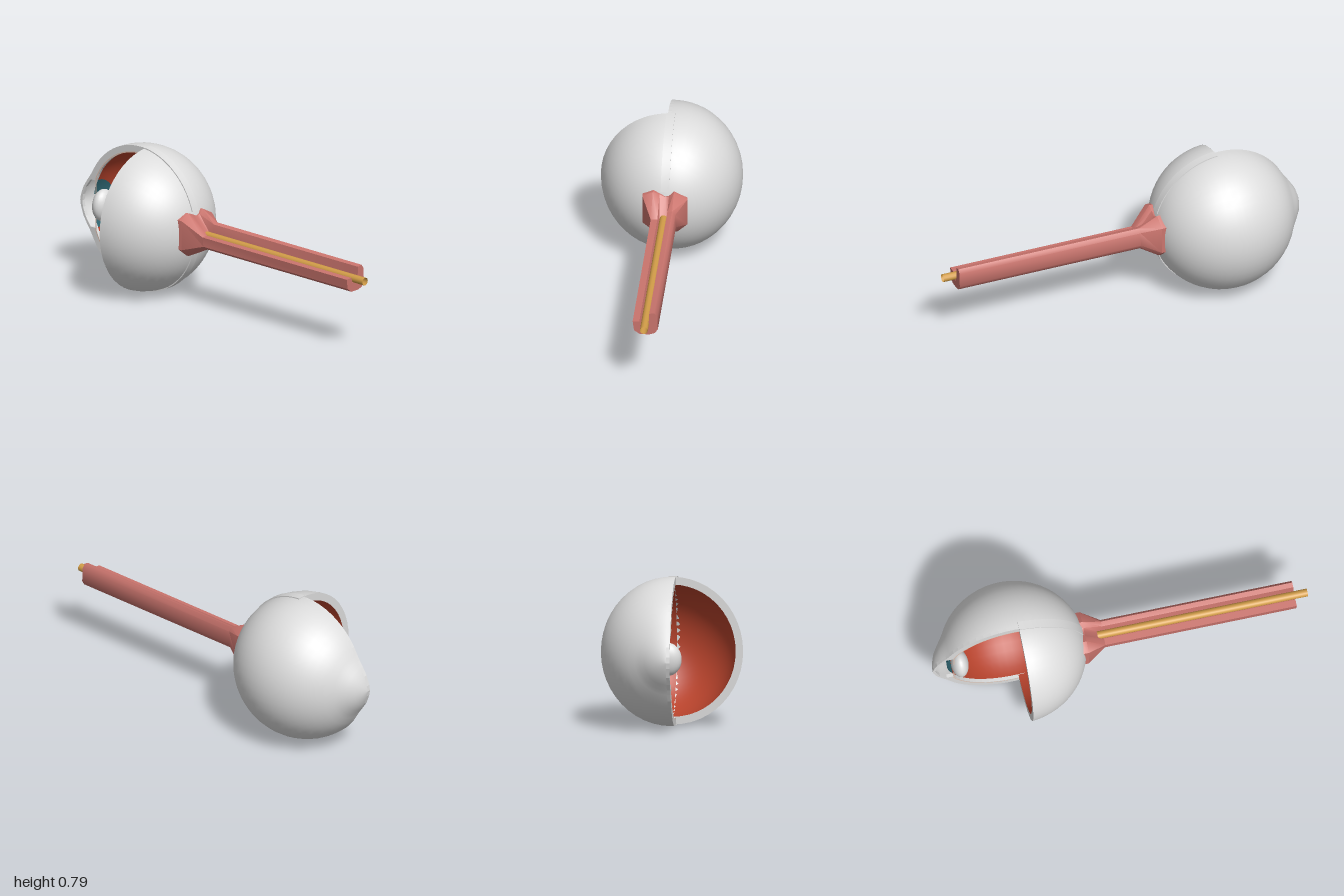
import * as THREE from 'three';
import { toCreasedNormals } from 'three/addons/utils/BufferGeometryUtils.js';

const material = (name, color, side = THREE.FrontSide) => {
  const m = new THREE.MeshStandardMaterial({ color, side });
  m.name = name;
  return m;
};

const CX = -0.57, CY = 0.398, CUT = -0.54, DEPTH = 0.95; // eye centre, cut plane, z squash
const V = (x, y) => new THREE.Vector2(x, y);

// Ellipse points (x along the eye axis, radius), from angle t0 to t1
function arc(rx, ry, t0, t1, n = 24) {
  return Array.from({ length: n + 1 }, (_, i) => {
    const t = t0 + (t1 - t0) * i / n;
    return V(CX - rx * Math.cos(t), Math.max(0, ry * Math.sin(t)));
  });
}

// Revolve an (x, radius) profile about the eye axis: back half or front half
function revolve(profile, back, segments = 24) {
  const pts = profile.map(p => V(p.y, p.x));
  const g = new THREE.LatheGeometry(pts, segments, back ? Math.PI / 2 : -Math.PI / 2, Math.PI);
  g.rotateZ(-Math.PI / 2);
  g.scale(1, 1, DEPTH);
  return g;
}

// Closed outline made from a half profile and its mirror image
const outline = p => [...p, ...p.slice().reverse().map(q => V(q.x, -q.y))];

export function createModel() {
  const group = new THREE.Group();
  const white = material('white', 0xdcdcdc, THREE.DoubleSide);
  const red = material('red', 0xb8432c, THREE.DoubleSide);
  const beige = material('beige', 0xe0c2b2);
  const teal = material('teal', 0x2f6672, THREE.DoubleSide);
  const pink = material('pink', 0xcb756e);
  const gold = material('gold', 0xd29d48, THREE.DoubleSide);

  const eye = new THREE.Group();
  eye.name = 'eye';
  eye.position.y = CY;
  group.add(eye);
  const add = (name, geometry, mat, parent = eye) => {
    const m = new THREE.Mesh(geometry, mat);
    m.name = name;
    parent.add(m);
    return m;
  };

  // Outer wall with the cornea bulge; the front half keeps only its rear quarter
  const cornea = [V(-1, 0), V(-0.995, 0.03), V(-0.977, 0.08), V(-0.95, 0.122), V(-0.928, 0.153)];
  const outer = [...cornea, ...arc(0.385, 0.39, 0.48, Math.PI)];
  const inner = arc(0.345, 0.35, 0.38, Math.PI);
  const cutOuter = Math.acos((CX - CUT) / 0.385), cutInner = Math.acos((CX - CUT) / 0.345);
  add('outerWallBack', revolve(outer, true), white);
  add('outerWallFront', revolve(arc(0.385, 0.39, cutOuter, Math.PI, 16), false), white);

  // Red lining
  add('liningBack', revolve(inner, true), red);
  add('liningFront', revolve(arc(0.345, 0.35, cutInner, Math.PI, 16), false), red);

  // Thick cut rim of the back half
  const rim = new THREE.Shape(outline(outer));
  const chamber = [V(-0.985, 0), V(-0.98, 0.035), V(-0.962, 0.08), V(-0.925, 0.13)];
  rim.holes.push(new THREE.Path(outline([...chamber, ...inner])));
  add('cutRim', new THREE.ExtrudeGeometry(rim, { depth: 0.018, bevelEnabled: false }), white);

  // Thin middle layer showing on the rim
  const layer = new THREE.Shape(outline(arc(0.351, 0.356, 0.42, cutInner)));
  layer.holes.push(new THREE.Path(outline(arc(0.345, 0.35, 0.43, cutInner - 0.002))));
  const layerMesh = add('middleLayer', new THREE.ShapeGeometry(layer), beige);
  layerMesh.position.z = 0.0195;

  // Cut rim of the front quarter
  const quarterRim = new THREE.RingGeometry(0.348, 0.389, 24, 1, -Math.PI / 2, Math.PI);
  quarterRim.rotateY(-Math.PI / 2);
  quarterRim.scale(1, 1, DEPTH);
  add('quarterRim', quarterRim, white).position.x = CUT;

  // Raised bands along the seam, above and below
  const t1 = Math.PI - 0.3;
  const bandShape = new THREE.Shape([
    ...arc(0.389, 0.394, cutOuter, t1), ...arc(0.375, 0.38, cutOuter, t1).reverse()]);
  const bandGeometry = toCreasedNormals(
    new THREE.ExtrudeGeometry(bandShape, { depth: 0.045, bevelEnabled: false }), 0.5);
  bandGeometry.translate(0, 0, -0.02);
  for (const s of [1, -1]) add(s > 0 ? 'upperSeamBand' : 'lowerSeamBand', bandGeometry, white).scale.y = s;

  // Iris and lens
  add('iris', revolve([V(-0.918, 0.045), V(-0.91, 0.085), V(-0.89, 0.13)], true), teal);
  const lens = add('lens', new THREE.SphereGeometry(1, 24, 16), white);
  lens.scale.set(0.046, 0.087, 0.072);
  lens.position.x = -0.853;

  // Nerve sheath: flared collar narrowing to an open channel, sections as [z, y]
  const channel = [[0.067, 0.41], [0.032, 0.412], [0.021, 0.38], [-0.015, 0.376], [-0.02, 0.46], [-0.045, 0.466],
    [-0.062, 0.445], [-0.065, 0.37], [-0.05, 0.345], [-0.02, 0.335], [0.03, 0.335], [0.06, 0.357]];
  const collar = [[0.12, 0.49], [0.065, 0.518], [0.03, 0.505], [0, 0.49], [-0.02, 0.495], [-0.045, 0.518],
    [-0.115, 0.48], [-0.115, 0.33], [-0.065, 0.285], [-0.02, 0.284], [0.065, 0.285], [0.12, 0.33]];
  const sections = [[-0.225, collar], [-0.19, collar], [-0.09, channel], [0.93, channel]];
  const positions = [], index = [], n = channel.length;
  sections.forEach(([x, pts], s) => pts.forEach(([z, y], i) => {
    positions.push(x, y, z);
    if (s === sections.length - 1) return;
    const a = s * n + i, b = s * n + (i + 1) % n;
    index.push(a, a + n, b, a + n, b + n, b);
  }));
  const sheath = new THREE.BufferGeometry();
  sheath.setAttribute('position', new THREE.Float32BufferAttribute(positions, 3));
  sheath.setIndex(index);
  add('nerveSheath', toCreasedNormals(sheath, 0.8), pink, group);
  const cap = new THREE.ShapeGeometry(new THREE.Shape(channel.map(([z, y]) => V(-z, y))));
  cap.rotateY(Math.PI / 2);
  add('nerveSheathEnd', cap, pink, group).position.x = 0.93;

  // Vessel lying in the channel
  const vessel = new THREE.CylinderGeometry(0.021, 0.021, 1.12, 12, 1, true);
  vessel.rotateZ(Math.PI / 2);
  add('vessel', vessel, gold, group).position.set(0.44, 0.4, 0.002);

  return group;
}
